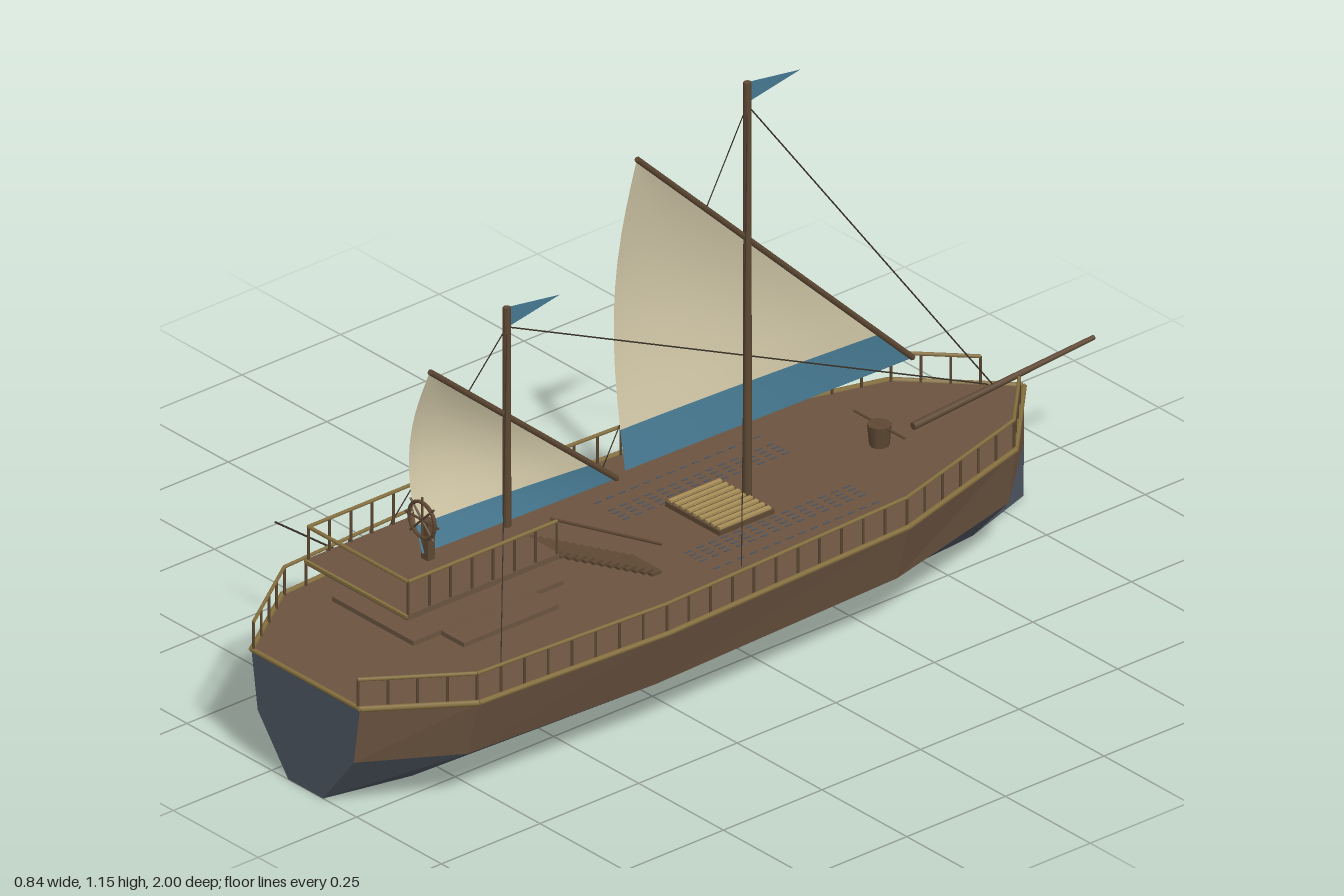
import * as THREE from 'three';

const mat = (name, color, extra = {}) => Object.assign(new THREE.MeshStandardMaterial({ color, ...extra }), { name });
const CX = 0.1; // centreline of the ship
const DECK = 0.24;

export function createModel() {
  const ship = new THREE.Group();
  ship.name = 'sailingShip';
  const M = {
    wood: mat('plank brown', 0x6b5440, { flatShading: true }),
    hull: mat('hull grey', 0x4d5560, { flatShading: true }),
    trim: mat('trim gold brown', 0x86703f),
    spar: mat('spar brown', 0x5e4833),
    rope: mat('rope dark', 0x3b3328),
    sail: mat('sail cream', 0xd2c8a8, { side: THREE.DoubleSide }),
    blue: mat('band blue', 0x467890, { side: THREE.DoubleSide }),
    slat: mat('grating yellow', 0xa89058),
  };
  const V = (x, y, z) => new THREE.Vector3(x, y, z);
  const add = (name, geo, m, parent = ship) => {
    const mesh = new THREE.Mesh(geo, m);
    mesh.name = name;
    parent.add(mesh);
    return mesh;
  };
  const group = (name) => {
    const g = new THREE.Group();
    g.name = name;
    ship.add(g);
    return g;
  };
  const box = (name, w, h, d, x, y, z, m, parent) =>
    add(name, new THREE.BoxGeometry(w, h, d), m, parent).position.set(x, y, z);
  const beam = (name, a, b, r, m, parent, sides = 6, r2 = r) => {
    const dir = b.clone().sub(a);
    const mesh = add(name, new THREE.CylinderGeometry(r2, r, dir.length(), sides), m, parent);
    mesh.position.copy(a).add(b).multiplyScalar(0.5);
    mesh.quaternion.setFromUnitVectors(V(0, 1, 0), dir.normalize());
    return mesh;
  };
  const quads = (list) => {
    const p = [];
    for (const [a, b, c, d] of list) for (const v of [a, b, c, a, c, d]) p.push(v.x, v.y, v.z);
    const g = new THREE.BufferGeometry();
    g.setAttribute('position', new THREE.Float32BufferAttribute(p, 3));
    g.computeVertexNormals();
    return g;
  };

  // Hull: [z, half width at deck], from stern to bow
  const sections = [[1, 0.16], [0.81, 0.29], [0.35, 0.315], [-0.28, 0.29], [-0.64, 0.187], [-0.82, 0.002]];
  const levels = [[0, 0.32], [0.115, 0.885], [DECK, 1]];
  const pt = (i, l, s) => V(CX + s * sections[i][1] * levels[l][1], levels[l][0], sections[i][0]);
  const upper = [], lower = [], deck = [];
  for (let i = 0; i < sections.length - 1; i++) {
    for (let l = 0; l < 2; l++) {
      const side = l ? upper : lower;
      side.push([pt(i, l, 1), pt(i + 1, l, 1), pt(i + 1, l + 1, 1), pt(i, l + 1, 1)]);
      side.push([pt(i, l, -1), pt(i, l + 1, -1), pt(i + 1, l + 1, -1), pt(i + 1, l, -1)]);
    }
    deck.push([pt(i, 2, -1), pt(i, 2, 1), pt(i + 1, 2, 1), pt(i + 1, 2, -1)]);
    lower.push([pt(i, 0, -1), pt(i + 1, 0, -1), pt(i + 1, 0, 1), pt(i, 0, 1)]);
  }
  for (let l = 0; l < 2; l++) lower.push([pt(0, l, -1), pt(0, l, 1), pt(0, l + 1, 1), pt(0, l + 1, -1)]);
  add('upperHull', quads(upper), M.wood);
  add('lowerHull', quads(lower), M.hull);
  add('deck', quads(deck), M.wood);

  // Deck edge trim and side railings, with a boarding gap on one side
  const rails = group('railings');
  for (const s of [-1, 1]) {
    for (let i = 0; i < sections.length - 1; i++) {
      const a = pt(i, 2, s), b = pt(i + 1, 2, s);
      beam('edgeTrim', a, b, 0.006, M.trim, rails);
      if (i === 4) b.lerp(a, 0.33);
      const at = (t) => a.clone().lerp(b, t).add(V(-s * 0.006, 0, 0));
      const up = V(0, 0.062, 0);
      const rail = (t0, t1) => beam('handRail', at(t0).add(up), at(t1).add(up), 0.004, M.trim, rails);
      const gap = s < 0 && i === 2;
      const tOf = (z) => (z - a.z) / (b.z - a.z);
      if (gap) {
        rail(0, tOf(0.28));
        rail(tOf(0.11), 1);
      } else rail(0, 1);
      const n = Math.max(2, Math.round(a.distanceTo(b) / 0.06));
      for (let k = 0; k <= n; k++) {
        const p = at(k / n);
        if (gap && p.z > 0.11 && p.z < 0.28) continue;
        beam('railPost', p, p.clone().add(up), 0.003, M.spar, rails, 5);
      }
    }
  }
  beam('sternTrim', pt(0, 2, -1), pt(0, 2, 1), 0.005, M.trim, rails);

  // Sail with a billowed aft edge and a blue band along the foot
  const sailPiece = (top, fore, aft, v0, v1, belly) => {
    const rows = 10, cols = 8, pos = [], idx = [];
    for (let j = 0; j <= rows; j++) for (let i = 0; i <= cols; i++) {
      const v = v0 + (v1 - v0) * j / rows, u = i / cols;
      const p = fore.clone().lerp(top, v).lerp(aft.clone().lerp(top, v), u);
      pos.push(p.x - belly * Math.sin(Math.PI * v) * Math.sin(u * Math.PI / 2), p.y, p.z);
      if (i < cols && j < rows) {
        const k = j * (cols + 1) + i;
        idx.push(k, k + cols + 1, k + 1, k + 1, k + cols + 1, k + cols + 2);
      }
    }
    const g = new THREE.BufferGeometry();
    g.setAttribute('position', new THREE.Float32BufferAttribute(pos, 3));
    g.setIndex(idx);
    g.computeVertexNormals();
    return g;
  };

  // Masts, yards, sails, pennants and rigging
  const rig = (name, z, height, top, fore, aft, bandY, shroudZ, hoist, stay) => {
    const g = group(name);
    beam('mast', V(CX, DECK, z), V(CX, height, z), 0.009, M.spar, g, 8, 0.008);
    beam('yard', fore, top, 0.006, M.spar, g);
    const band = (bandY - aft.y) / (top.y - aft.y);
    add('sail', sailPiece(top, fore, aft, band, 1, 0.05), M.sail, g);
    add('sailBand', sailPiece(top, fore, aft, 0, band, 0.05), M.blue, g);
    const flag = new THREE.BufferGeometry().setFromPoints([
      V(CX, height, z), V(CX, height - 0.045, z), V(CX, height - 0.02, z - 0.135)]);
    flag.computeVertexNormals();
    add('pennant', flag, M.blue, g);
    for (const s of [-1, 1])
      beam('shroud', V(CX, hoist, z), V(CX + s * 0.215, 0.25, shroudZ), 0.0015, M.rope, g, 4);
    beam('stay', V(CX, hoist, z), stay, 0.0015, M.rope, g, 4);
  };
  rig('mainRig', -0.12, 1.15, V(CX, 1.08, 0.16), V(CX, 0.4, -0.54), V(CX, 0.41, 0.19), 0.49, 0.08, 1.1, V(CX, 0.26, -0.75));
  rig('mizzenRig', 0.49, 0.873, V(CX, 0.8, 0.685), V(CX, 0.4, 0.21), V(CX, 0.41, 0.705), 0.462, 0.69, 0.83, V(CX, 0.275, -0.73));
  beam('bowsprit', V(CX, 0.25, -0.54), V(CX, 0.283, -0.999), 0.008, M.spar, ship, 8, 0.005);

  // Raised stern platforms
  const poop = group('sternPlatform');
  box('lowerPlatformWide', 0.375, 0.01, 0.24, CX, 0.306, 0.64, M.wood, poop);
  box('lowerPlatformLong', 0.24, 0.01, 0.38, CX, 0.3065, 0.64, M.wood, poop);
  box('upperPlatform', 0.3, 0.012, 0.385, CX, 0.389, 0.678, M.wood, poop);
  box('platformTrim', 0.3, 0.006, 0.006, CX, 0.392, 0.872, M.trim, poop);
  beam('aftRail', V(-0.047, 0.466, 0.867), V(0.247, 0.466, 0.867), 0.004, M.trim, poop);
  for (const x of [-0.047, 0.247]) {
    beam('sideRail', V(x, 0.466, 0.49), V(x, 0.466, 0.867), 0.004, M.trim, poop);
    for (let i = 0; i <= 7; i++) {
      const z = 0.49 + i * 0.377 / 7;
      beam('sidePost', V(x, 0.39, z), V(x, 0.466, z), 0.003, M.spar, poop, 5);
    }
  }

  // Stairs from the deck to the platform
  const stairs = group('stairs');
  for (let i = 0; i < 13; i++) {
    const t = i / 12;
    box('step', 0.088, 0.006, 0.024, 0.187, 0.25 + t * 0.132, 0.222 + t * 0.253, M.spar, stairs);
  }
  beam('stairRail', V(0.23, 0.31, 0.21), V(0.23, 0.464, 0.49), 0.003, M.spar, stairs);

  // Steering wheel
  const wheel = group('steeringWheel');
  box('pedestal', 0.02, 0.09, 0.018, CX, 0.435, 0.69, M.spar, wheel);
  add('rim', new THREE.TorusGeometry(0.038, 0.004, 6, 24), M.spar, wheel).position.set(CX, 0.484, 0.705);
  for (let i = 0; i < 4; i++) {
    const a = i * Math.PI / 4, c = 0.049 * Math.cos(a), s = 0.049 * Math.sin(a);
    beam('spoke', V(CX - c, 0.484 - s, 0.705), V(CX + c, 0.484 + s, 0.705), 0.0025, M.spar, wheel);
  }

  // Hatch grating around the main mast foot
  const hatch = group('hatch');
  box('hatchBase', 0.16, 0.01, 0.14, CX, 0.245, -0.05, M.spar, hatch);
  for (let i = 0; i < 9; i++) box('slat', 0.009, 0.005, 0.13, 0.028 + i * 0.018, 0.2525, -0.05, M.slat, hatch);

  // Dashed seams on the deck planks
  const seams = group('deckSeams');
  for (const s of [-1, 1]) for (const off of [0.09, 0.105, 0.12, 0.135, 0.175])
    for (let k = 0; k < 14; k++) box('seam', 0.003, 0.002, 0.016, CX + s * off, 0.241, -0.295 + k * 0.031, M.hull, seams);

  // Capstan on the foredeck
  const capstan = group('capstan');
  add('drum', new THREE.CylinderGeometry(0.024, 0.02, 0.045, 10), M.spar, capstan).position.set(CX, 0.263, -0.455);
  beam('bar', V(0.025, 0.284, -0.455), V(0.175, 0.284, -0.455), 0.0025, M.spar, capstan);

  // Oars reaching out over one side
  for (const z of [-0.46, 0.63]) beam('oar', V(-0.42, 0.24, z), V(-0.15, 0.26, z), 0.002, M.rope, ship, 5);

  return ship;
}
